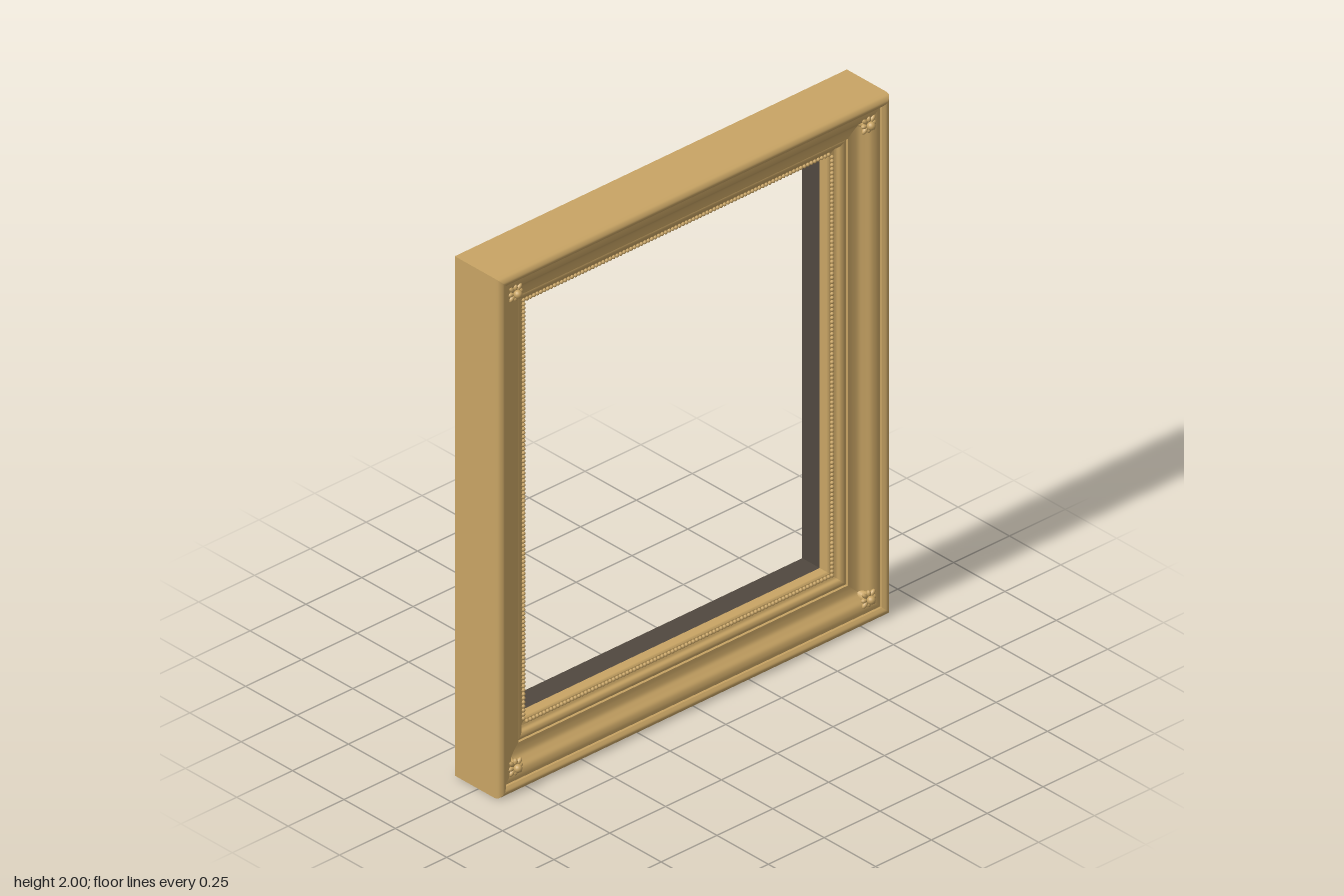
import * as THREE from 'three';
import { mergeGeometries } from 'three/addons/utils/BufferGeometryUtils.js';

const HALF_W = 0.878, HALF_H = 1, BACK = -0.115;

// Sweeps a profile of [inset, z] points around the rectangle with mitred corners.
function mitredSweep(profile) {
  const signs = [[-1, -1], [1, -1], [1, 1], [-1, 1]];
  const sides = signs.map((a, s) => {
    const b = signs[(s + 1) % 4];
    const pos = [], idx = [];
    profile.forEach(([u, z], i) => {
      for (const c of [a, b]) pos.push(c[0] * (HALF_W - u), 1 + c[1] * (HALF_H - u), z);
      if (i > 0) {
        const k = 2 * i;
        idx.push(k - 2, k - 1, k + 1, k - 2, k + 1, k);
      }
    });
    const g = new THREE.BufferGeometry();
    g.setAttribute('position', new THREE.Float32BufferAttribute(pos, 3));
    g.setIndex(idx);
    g.computeVertexNormals();
    return g;
  });
  return mergeGeometries(sides);
}

// Smooth curve through a few profile points.
function smooth(points, n = 16) {
  const curve = new THREE.SplineCurve(points.map(([u, z]) => new THREE.Vector2(u, z)));
  return curve.getPoints(n).map((p) => [p.x, p.y]);
}

// Ellipsoid pointing along an angle in the xy plane.
function petal(angle, reach, length, width, z) {
  const g = new THREE.SphereGeometry(1, 12, 8);
  g.scale(length, width, 0.009);
  g.translate(reach, 0, z);
  g.rotateZ(angle);
  return g;
}

export function createModel() {
  const gold = new THREE.MeshStandardMaterial({ color: 0xc8a464 });
  gold.name = 'antique gold';
  const dark = new THREE.MeshStandardMaterial({ color: 0x50483f });
  dark.name = 'dark backing';

  const model = new THREE.Group();
  model.name = 'pictureFrame';
  const add = (name, geometry, material, parent = model) => {
    const mesh = new THREE.Mesh(geometry, material);
    mesh.name = name;
    parent.add(mesh);
    return mesh;
  };

  // Gold moulding, from the outer wall to the sight edge
  const mouldings = {
    outerWall: [[0, BACK], [0, 0.08]],
    outerRim: smooth([[0, 0.08], [0.004, 0.095], [0.015, 0.104], [0.025, 0.104], [0.036, 0.095]]),
    rimStep: [[0.036, 0.095], [0.038, 0.088]],
    cove: smooth([[0.038, 0.088], [0.055, 0.087], [0.072, 0.08], [0.086, 0.064],
      [0.1, 0.05], [0.12, 0.044], [0.14, 0.042]], 28),
    coveStep: [[0.14, 0.042], [0.142, 0.034]],
    innerRoll: smooth([[0.142, 0.034], [0.152, 0.036], [0.164, 0.031], [0.17, 0.02], [0.178, 0.015]], 14),
    beadSeat: [[0.178, 0.015], [0.194, 0.011]],
    sightEdge: smooth([[0.194, 0.011], [0.199, 0.006], [0.2, -0.002], [0.2, -0.03]], 8),
  };
  const moulding = new THREE.Group();
  moulding.name = 'moulding';
  model.add(moulding);
  for (const [name, profile] of Object.entries(mouldings)) {
    add(name, mitredSweep(profile), gold, moulding);
  }

  // Dark rebate wall and back face
  add('rebateWall', mitredSweep([[0.2, -0.03], [0.2, BACK]]), dark);
  add('backFace', mitredSweep([[0.2, BACK], [0, BACK]]), dark);

  // Row of small beads around the opening
  const beads = [];
  const bx = HALF_W - 0.187, by = HALF_H - 0.187;
  const bead = (x, y) => beads.push(new THREE.SphereGeometry(0.007, 8, 6).translate(x, 1 + y, 0.016));
  const nx = Math.round((2 * bx) / 0.0155), ny = Math.round((2 * by) / 0.0155);
  for (const s of [-1, 1]) {
    for (let i = 0; i < nx; i++) bead(s * (-bx + (2 * bx * i) / nx), s * by);
    for (let i = 0; i < ny; i++) bead(s * bx, s * (-by + (2 * by * i) / ny));
  }
  add('beading', mergeGeometries(beads), gold);

  // Corner rosettes: petals around a raised centre
  const parts = [new THREE.SphereGeometry(0.015, 16, 12).translate(0, 0, 0.098)];
  for (let i = 0; i < 8; i++) {
    const long = i % 2 === 1;
    parts.push(petal((i * Math.PI) / 4, long ? 0.024 : 0.02, long ? 0.014 : 0.012, 0.008, 0.085));
  }
  parts.push(new THREE.CylinderGeometry(0.018, 0.022, 0.04, 16).rotateX(Math.PI / 2).translate(0, 0, 0.068));
  const rosette = mergeGeometries(parts);
  for (const sx of [-1, 1]) {
    for (const sy of [-1, 1]) {
      const name = (sy > 0 ? 'upper' : 'lower') + (sx > 0 ? 'Left' : 'Right') + 'Rosette';
      add(name, rosette, gold).position.set(sx * (HALF_W - 0.087), 1 + sy * (HALF_H - 0.087), 0);
    }
  }
  return model;
}
